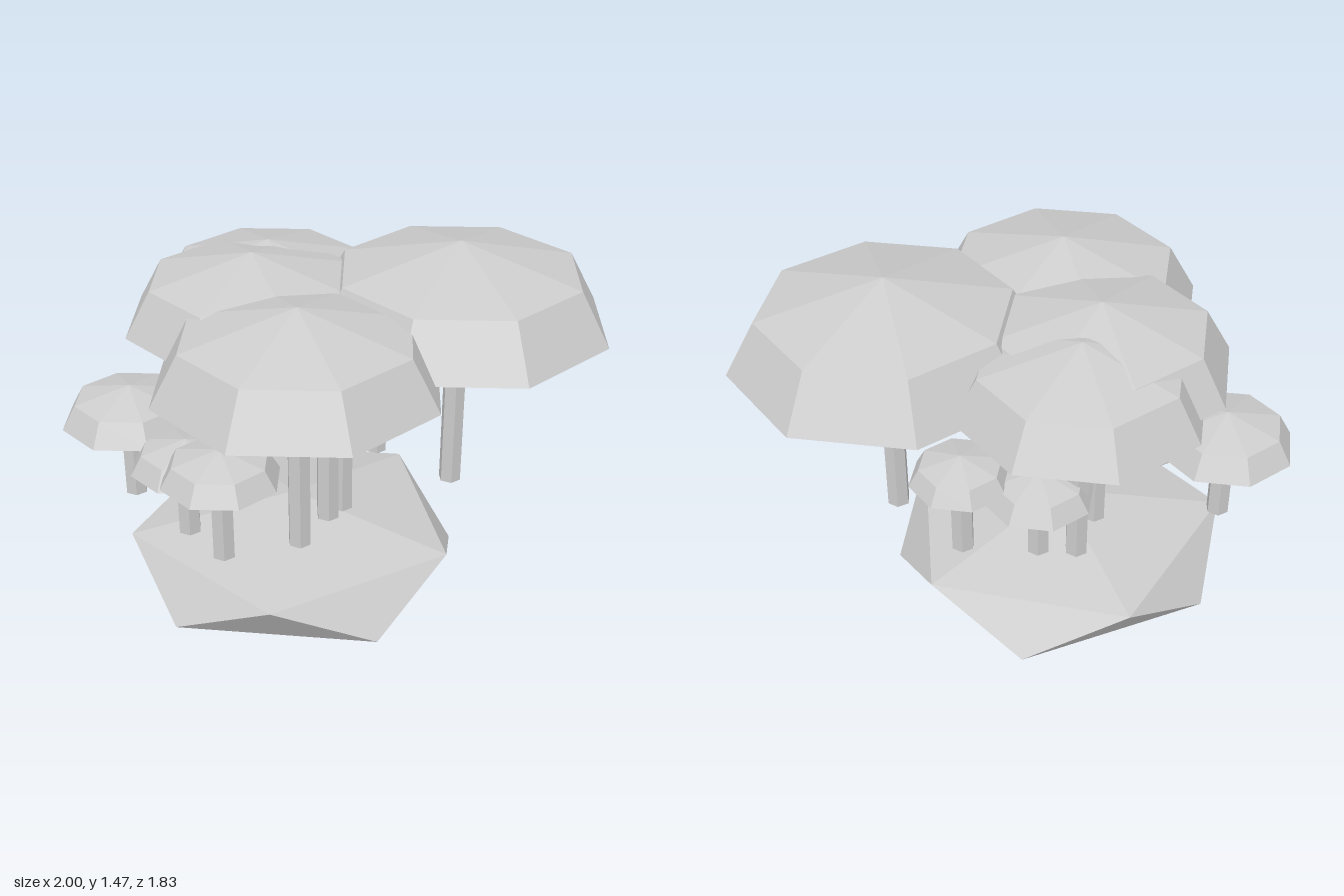
import * as THREE from 'three';

const STEM_BASE = 0.42;
const STEM_RADIUS = 0.046;

// Each row: x, z, cap radius, height of the cap rim
const LARGE = [
  [0.40, -0.32, 0.60, 1.14],
  [0.04, 0.36, 0.55, 1.11],
  [-0.32, 0.01, 0.506, 1.145],
  [-0.36, -0.205, 0.474, 1.128],
];
const SMALL = [
  [-0.727, 0.30, 0.273, 0.754],
  [-0.185, 0.555, 0.23, 0.76],
  [-0.387, 0.46, 0.215, 0.71],
  [0.06, 0.147, 0.23, 0.873],
  [0.08, 0.06, 0.22, 0.806],
  [0.03, -0.41, 0.20, 0.755],
  [-0.23, -0.275, 0.216, 0.693],
];

export function createModel() {
  const model = new THREE.Group();
  model.name = 'mushroomIsland';
  const grey = new THREE.MeshStandardMaterial({ color: 0xcccccc, flatShading: true });
  grey.name = 'light grey';

  // Flattened icosahedron standing on one corner
  const rock = new THREE.IcosahedronGeometry(0.742, 0);
  rock.rotateZ(-Math.atan(2 / (1 + Math.sqrt(5))));
  rock.scale(1, 0.216 / 0.742, 1);
  rock.translate(-0.13, 0.216, 0.06);
  const island = new THREE.Mesh(rock, grey);
  island.name = 'island';
  model.add(island);

  // Six-sided stem under an eight-sided, two-tier cap with a flat underside
  function addMushroom(name, [x, z, radius, rim]) {
    const mushroom = new THREE.Group();
    mushroom.name = name;
    mushroom.position.set(x, 0, z);

    const stemHeight = rim + 0.01 - STEM_BASE;
    const stemShape = new THREE.CylinderGeometry(STEM_RADIUS, STEM_RADIUS, stemHeight, 6);
    stemShape.rotateY(Math.PI / 6);
    const stem = new THREE.Mesh(stemShape, grey);
    stem.name = 'stem';
    stem.position.y = STEM_BASE + stemHeight / 2;

    const height = radius * 0.55;
    const profile = [
      [0, 0], [radius, 0], [radius * 0.8, height * 0.635], [0, height],
    ].map(([r, y]) => new THREE.Vector2(r, y));
    const cap = new THREE.Mesh(new THREE.LatheGeometry(profile, 8), grey);
    cap.name = 'cap';
    cap.position.y = rim;

    mushroom.add(stem, cap);
    model.add(mushroom);
  }

  LARGE.forEach((m, i) => addMushroom(`largeMushroom${i + 1}`, m));
  SMALL.forEach((m, i) => addMushroom(`smallMushroom${i + 1}`, m));
  return model;
}
